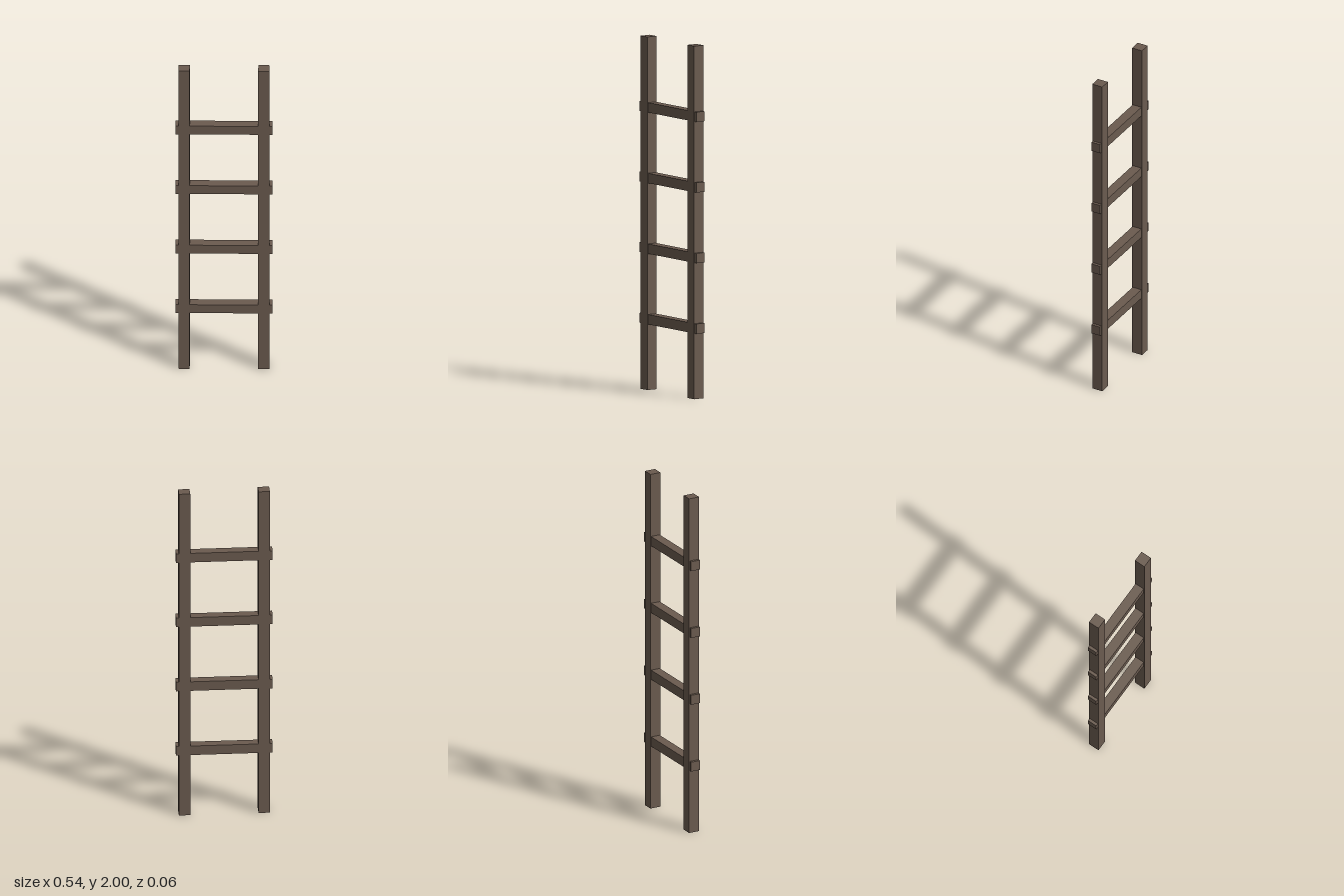
import * as THREE from 'three';

export function createModel() {
  const group = new THREE.Group();
  group.name = 'ladder';
  const wood = new THREE.MeshStandardMaterial({ color: 0x6b5b4f });

  const addBeam = (name, size, position) => {
    const mesh = new THREE.Mesh(new THREE.BoxGeometry(...size), wood);
    mesh.name = name;
    mesh.position.set(...position);
    group.add(mesh);
  };

  // Upright side rails
  for (const side of [-1, 1]) {
    addBeam(side > 0 ? 'leftRail' : 'rightRail', [0.064, 2, 0.064], [side * 0.224, 1, 0]);
  }

  // Evenly spaced rungs, passing through the rails and sticking out a little
  for (let i = 1; i <= 4; i++) {
    addBeam(`rung${i}`, [0.544, 0.056, 0.056], [0, i * 0.4, 0]);
  }

  return group;
}
